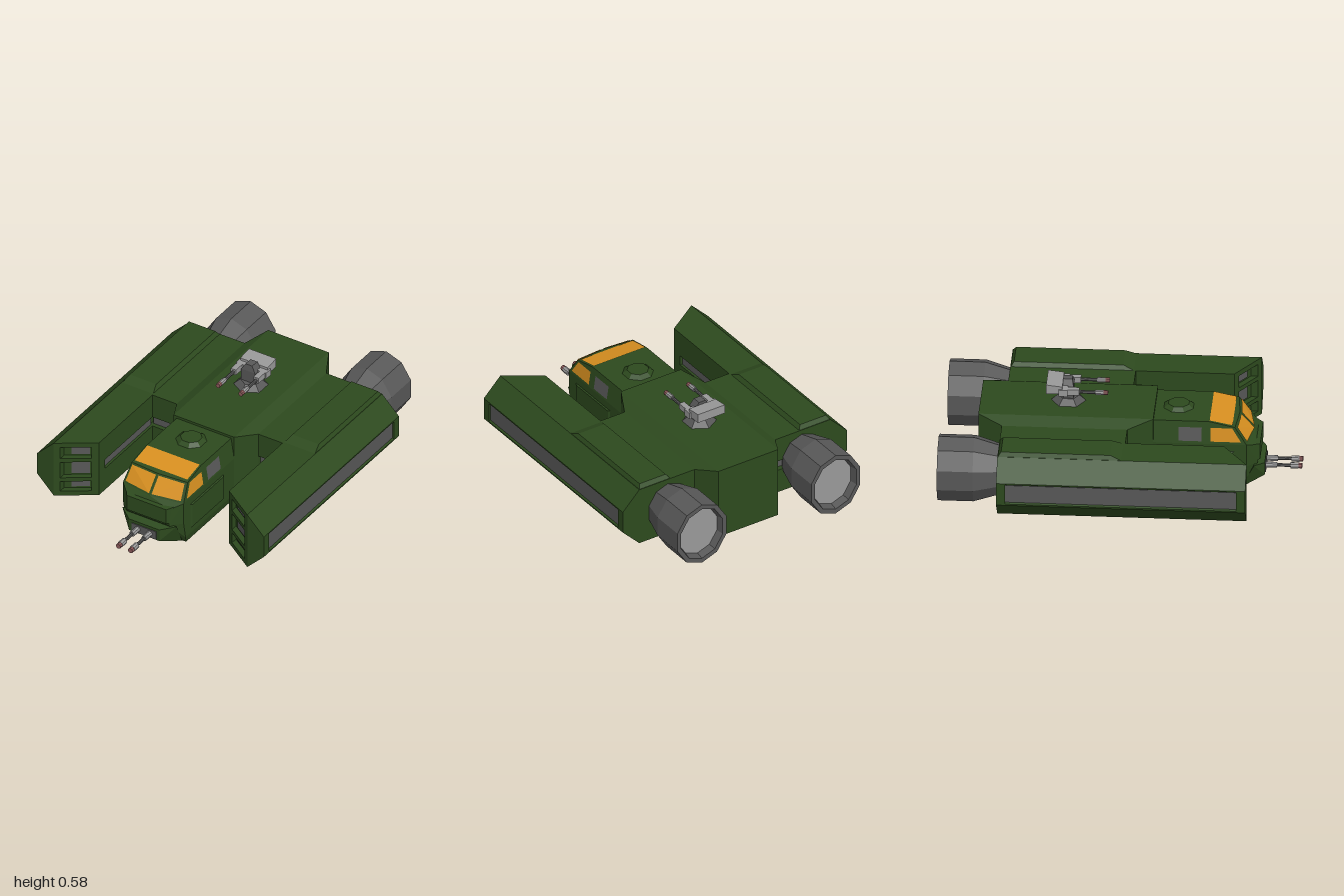
import * as THREE from 'three';
import { ConvexGeometry } from 'three/addons/geometries/ConvexGeometry.js';

const mat = (color) => new THREE.MeshStandardMaterial({ color, flatShading: true, side: THREE.DoubleSide });

export function createModel() {
  const green = mat(0x2d4a1e), dark = mat(0x585858), light = mat(0x999999);
  const amber = mat(0xd89020), red = mat(0x8c5a5a);
  const model = new THREE.Group();
  model.name = 'transportShip';

  const add = (parent, name, geometry, material, x = 0, y = 0, z = 0) => {
    const mesh = new THREE.Mesh(geometry, material);
    mesh.name = name;
    mesh.position.set(x, y, z);
    parent.add(mesh);
    return mesh;
  };
  // box given by its lower and upper corners
  const box = (parent, name, material, [x0, y0, z0], [x1, y1, z1]) =>
    add(parent, name, new THREE.BoxGeometry(x1 - x0, y1 - y0, z1 - z0), material,
      (x0 + x1) / 2, (y0 + y1) / 2, (z0 + z1) / 2);
  // convex solid from corner points, optionally mirrored across x
  const solid = (parent, name, material, pts, mirror = true) => {
    const all = pts.map((p) => new THREE.Vector3(...p));
    if (mirror) pts.forEach(([x, y, z]) => x && all.push(new THREE.Vector3(-x, y, z)));
    return add(parent, name, new ConvexGeometry(all), material);
  };
  // extrusion along z; the front end follows z = front(x)
  const extrude = (outline, z0, front, holes = [], back = () => z0) => {
    const shape = new THREE.Shape(outline.map((p) => new THREE.Vector2(...p)));
    holes.forEach(([x0, y0, x1, y1]) => shape.holes.push(new THREE.Path(
      [[x0, y0], [x0, y1], [x1, y1], [x1, y0]].map((p) => new THREE.Vector2(...p)))));
    const g = new THREE.ExtrudeGeometry(shape, { depth: 1, bevelEnabled: false });
    const p = g.attributes.position;
    for (let i = 0; i < p.count; i++) p.setZ(i, p.getZ(i) > 0.5 ? front(p.getX(i)) : back(p.getX(i)));
    g.computeVertexNormals();
    return g;
  };
  // flat four-cornered pane, counter-clockwise from outside, lifted off its surface
  const pane = (parent, name, material, corners) => {
    const v = corners.map((c) => new THREE.Vector3(...c));
    const n = v[1].clone().sub(v[0]).cross(v[2].clone().sub(v[0])).normalize().multiplyScalar(0.004);
    const g = new THREE.BufferGeometry().setFromPoints(v.map((p) => p.add(n)));
    g.setIndex([0, 1, 2, 0, 2, 3]);
    g.computeVertexNormals();
    return add(parent, name, g, material);
  };
  const rod = (parent, name, material, r, z0, z1, x, y) =>
    add(parent, name, new THREE.CylinderGeometry(r, r, z1 - z0, 8).rotateX(Math.PI / 2), material, x, y, (z0 + z1) / 2);

  // central hull
  const hull = [];
  for (const z of [-0.66, 0.04]) hull.push([0.2, 0.435, z], [0.27, 0.4, z], [0.27, 0.045, z], [0.2, 0, z]);
  for (const z of [-0.795, 0.18]) hull.push([0.2, 0.435, z], [0.2, 0, z]);
  solid(model, 'hull', green, hull);

  // cab: lower body, upper cabin and chin
  const cab = new THREE.Group();
  cab.name = 'cab';
  model.add(cab);
  solid(cab, 'cabBody', green, [
    [0.2, 0.29, 0.17], [0.2, 0.29, 0.7], [0, 0.29, 0.735],
    [0.2, 0.26, 0.7], [0.14, 0.26, 0.755], [0.2, 0.155, 0.7], [0.14, 0.155, 0.76],
    [0.19, 0.005, 0.17], [0.19, 0.005, 0.66], [0.2, 0.05, 0.17], [0.2, 0.05, 0.68]]);
  solid(cab, 'cabin', green, [
    [0.2, 0.29, 0.17], [0.2, 0.29, 0.7], [0, 0.29, 0.735], [0.18, 0.42, 0.17],
    [0.18, 0.42, 0.49], [0.1846, 0.39, 0.635], [0, 0.39, 0.65]]);
  solid(cab, 'chin', green, [
    [0.1, 0.13, 0.795], [0.1, 0.055, 0.795], [0.18, 0.15, 0.74], [0.17, 0.01, 0.67]]);
  solid(cab, 'nosePanel', green, [
    [0.17, 0.275, 0.72], [0.13, 0.265, 0.772], [0.13, 0.17, 0.772], [0.17, 0.16, 0.72]]);
  solid(cab, 'sidePanels', green, [
    [0.195, 0.25, 0.28], [0.195, 0.25, 0.64], [0.195, 0.08, 0.28], [0.195, 0.08, 0.64],
    [0.207, 0.24, 0.3], [0.207, 0.24, 0.62], [0.207, 0.09, 0.3], [0.207, 0.09, 0.62]]);
  add(cab, 'roofHatch', new THREE.CylinderGeometry(0.062, 0.09, 0.022, 8).rotateY(Math.PI / 8), green, 0, 0.43, 0.31);
  pane(cab, 'skylight', amber, [[-0.173, 0.394, 0.62], [0.173, 0.394, 0.62], [0.173, 0.42, 0.492], [-0.173, 0.42, 0.492]]);
  box(cab, 'gunPlate', dark, [-0.08, 0.06, 0.79], [0.08, 0.112, 0.8]);

  // mirrored window panes and nose guns
  for (const s of [1, -1]) {
    const half = new THREE.Group();
    half.name = s > 0 ? 'cabLeft' : 'cabRight';
    half.scale.x = s;
    cab.add(half);
    pane(half, 'windscreen', amber, [[0.008, 0.3, 0.729], [0.182, 0.3, 0.699], [0.172, 0.383, 0.645], [0.008, 0.383, 0.657]]);
    const sideX = (y) => 0.2 - (y - 0.29) * 0.154;
    const sideWindow = (name, m, a, b, c, d) => pane(half, name, m,
      [[sideX(0.305), 0.305, b], [sideX(0.305), 0.305, a], [sideX(0.385), 0.385, c], [sideX(0.385), 0.385, d]]);
    sideWindow('sideWindow', amber, 0.5, 0.67, 0.5, 0.62);
    sideWindow('rearSideWindow', dark, 0.32, 0.45, 0.32, 0.45);
    rod(half, 'noseGunSleeve', light, 0.017, 0.79, 0.86, 0.04, 0.087);
    rod(half, 'noseGunBarrel', dark, 0.01, 0.86, 0.94, 0.04, 0.087);
    rod(half, 'noseGunMuzzle', light, 0.018, 0.935, 0.98, 0.04, 0.087);
    rod(half, 'noseGunTip', red, 0.016, 0.98, 1, 0.04, 0.087);
  }

  // side assemblies: bridge, pod and engine
  for (const s of [1, -1]) {
    const side = new THREE.Group();
    side.name = s > 0 ? 'leftSide' : 'rightSide';
    side.scale.x = s;
    model.add(side);

    // bridge with a recessed band at both ends
    box(side, 'bridgeLower', green, [0.2, 0.045, -0.66], [0.44, 0.19, 0.04]);
    box(side, 'bridgeUpper', green, [0.2, 0.25, -0.66], [0.44, 0.4, 0.04]);
    box(side, 'bridgeBand', dark, [0.2, 0.185, -0.63], [0.44, 0.255, 0.015]);

    // pod, cut diagonally at the front, with grooves along both flanks
    const slant = (x) => 0.59 + (x - 0.43) * 0.667;
    const inner = [[0.43, 0.045], [0.64, 0.045], [0.64, 0.4], [0.43, 0.4], [0.43, 0.25], [0.45, 0.25], [0.45, 0.19], [0.43, 0.19]];
    add(side, 'podInner', extrude(inner, -0.66, (x) => slant(x) - 0.04), green);
    const outer = [[0.64, 0.045], [0.75, 0.155], [0.75, 0.163], [0.737, 0.17], [0.737, 0.275], [0.75, 0.282], [0.75, 0.29], [0.64, 0.4]];
    add(side, 'podOuter', extrude(outer, -0.66, () => 0.73), green);
    box(side, 'outerStrip', dark, [0.73, 0.17, -0.61], [0.74, 0.275, 0.69]);
    box(side, 'innerStrip', dark, [0.445, 0.19, 0.03], [0.455, 0.25, 0.54]);
    box(side, 'innerGrooveEnd', green, [0.43, 0.19, 0.53], [0.46, 0.25, 0.56]);
    for (const [z0, z1] of [[-0.66, -0.61], [0.68, 0.73]])
      box(side, 'outerGrooveEnd', green, [0.73, 0.16, z0], [0.75, 0.285, z1]);

    // slanted front plate with three recessed openings
    const rows = [[0.075, 0.14], [0.165, 0.27], [0.295, 0.37]];
    const border = [[0.43, 0.045], [0.64, 0.045], [0.64, 0.4], [0.43, 0.4]];
    add(side, 'podFront', extrude(border, 0, slant, rows.map(([a, b]) => [0.465, a, 0.61, b]),
      (x) => slant(x) - 0.045), green);
    for (const [a, b] of rows) {
      const x0 = 0.49, x1 = 0.575, y0 = a + 0.012, y1 = b - 0.012, z = (x) => slant(x) - 0.038;
      pane(side, 'podVent', dark, [[x0, y0, z(x0)], [x1, y0, z(x1)], [x1, y1, z(x1)], [x0, y1, z(x0)]]);
    }

    // raised deck on the rear of the pod
    solid(side, 'podDeck', green, [
      [0.43, 0.395, 0.04], [0.64, 0.395, 0.04], [0.43, 0.395, -0.66], [0.64, 0.395, -0.66],
      [0.45, 0.424, -0.03], [0.625, 0.424, -0.03], [0.45, 0.424, -0.64], [0.625, 0.424, -0.64]], false);

    // faceted engine with a hollow nozzle
    const engine = new THREE.Group();
    engine.name = 'engine';
    engine.position.set(0.448, 0.223, 0);
    engine.scale.set(0.93, 1.04, 1);
    side.add(engine);
    const profile = [[0, 0.64], [0.14, 0.65], [0.185, 0.8], [0.185, 1], [0.157, 1], [0.145, 0.95]];
    add(engine, 'nozzle', new THREE.LatheGeometry(profile.map((p) => new THREE.Vector2(...p)), 10)
      .rotateX(-Math.PI / 2), dark);
    add(engine, 'nozzleGlow', new THREE.CircleGeometry(0.147, 10).rotateZ(Math.PI / 2).rotateY(Math.PI), light, 0, 0, -0.955);
  }

  // roof turret
  const turret = new THREE.Group();
  turret.name = 'turret';
  turret.position.set(0, 0, -0.305);
  model.add(turret);
  add(turret, 'turretBase', new THREE.CylinderGeometry(0.06, 0.1, 0.035, 6), dark, 0, 0.45, 0);
  solid(turret, 'turretPost', dark, [
    [0.045, 0.465, 0.03], [0.045, 0.465, -0.03], [0.045, 0.54, 0.03], [0.045, 0.54, -0.03],
    [0.022, 0.577, 0.022], [0.022, 0.577, -0.03]]);
  solid(turret, 'turretRear', light, [
    [0.09, 0.515, -0.12], [0.09, 0.57, -0.12], [0.09, 0.515, -0.03], [0.09, 0.56, -0.03]]);
  for (const s of [1, -1]) {
    const gun = new THREE.Group();
    gun.name = s > 0 ? 'leftGun' : 'rightGun';
    gun.scale.x = s;
    turret.add(gun);
    box(gun, 'gunArm', light, [0.04, 0.505, -0.05], [0.1, 0.545, 0]);
    box(gun, 'gunHousing', light, [0.058, 0.51, -0.02], [0.092, 0.545, 0.065]);
    rod(gun, 'gunBarrel', dark, 0.01, 0.05, 0.16, 0.075, 0.526);
    rod(gun, 'gunMuzzle', light, 0.015, 0.155, 0.2, 0.075, 0.526);
    rod(gun, 'gunTip', red, 0.014, 0.2, 0.225, 0.075, 0.526);
  }
  return model;
}
